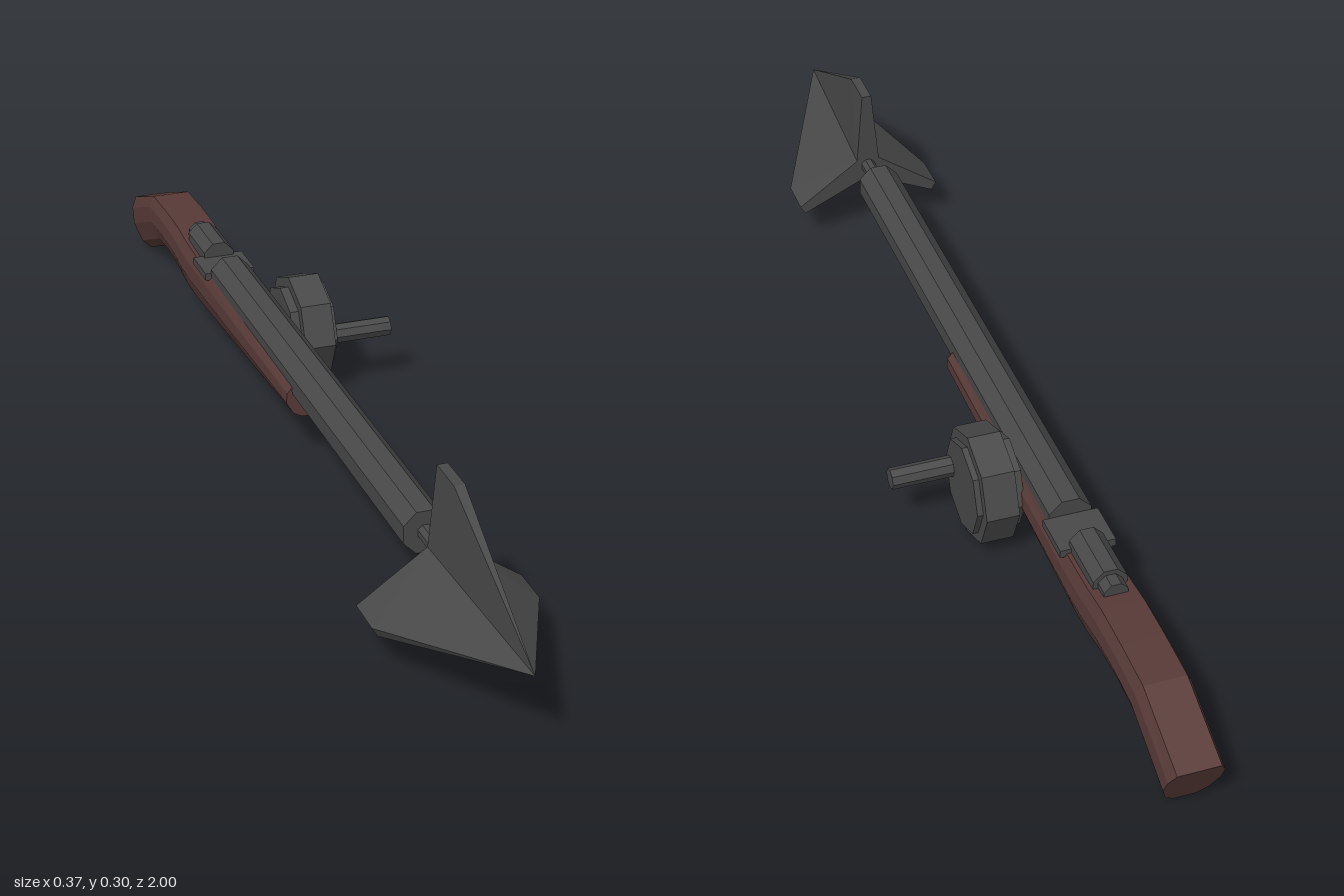
import * as THREE from 'three';

const CX = -0.047, CY = 0.15; // barrel axis

const mat = (name, color) => {
  const m = new THREE.MeshStandardMaterial({ color, flatShading: true });
  m.name = name;
  return m;
};

function part(group, name, geometry, material, x = 0, y = 0, z = 0) {
  const m = new THREE.Mesh(geometry, material);
  m.name = name;
  m.position.set(x, y, z);
  group.add(m);
  return m;
}

// Octagonal prism along z; flats face up unless a vertex-up turn is asked for
function prismZ(rBack, rFront, z0, z1, sides = 8) {
  const g = new THREE.CylinderGeometry(rFront, rBack, z1 - z0, sides);
  g.rotateY(Math.PI / sides);
  g.rotateX(Math.PI / 2);
  g.translate(0, 0, (z0 + z1) / 2);
  return g;
}

// Octagonal prism along x with a vertex at the top
function prismX(r, x0, x1) {
  const g = new THREE.CylinderGeometry(r, r, x1 - x0, 8);
  g.rotateZ(Math.PI / 2);
  g.translate((x0 + x1) / 2, 0, 0);
  return g;
}

function fromTriangles(points, tris) {
  const g = new THREE.BufferGeometry();
  g.setAttribute('position', new THREE.Float32BufferAttribute(points.flat(), 3));
  g.setIndex(tris);
  const flat = g.toNonIndexed();
  flat.computeVertexNormals();
  return flat;
}

// Loft of one faceted section through slanted stations
function stockGeometry() {
  const section = [ // x, share of height; counter-clockwise seen from the front
    [-0.018, 0], [0.018, 0], [0.035, 0.15], [0.047, 0.5], [0.046, 0.8], [0.036, 1],
    [-0.036, 1], [-0.046, 0.8], [-0.047, 0.5], [-0.035, 0.15],
  ];
  const stations = [ // zTop, yTop, zBottom, yBottom
    [0.02, 0.148, 0.02, 0.088],
    [-0.28, 0.148, -0.28, 0.068],
    [-0.57, 0.15, -0.58, 0.047],
    [-0.63, 0.153, -0.63, 0.049],
    [-0.69, 0.16, -0.70, 0.062],
    [-0.77, 0.16, -0.77, 0.066],
    [-0.86, 0.156, -0.83, 0.06],
    [-1.0, 0.1, -0.955, 0.003],
  ];
  const n = section.length, pts = [], tris = [];
  for (const [zt, yt, zb, yb] of stations)
    for (const [x, t] of section) pts.push([x, yb + (yt - yb) * t, zb + (zt - zb) * t]);
  for (let s = 0; s < stations.length - 1; s++)
    for (let i = 0; i < n; i++) {
      const a = s * n + i, b = s * n + (i + 1) % n;
      tris.push(a, a + n, b, b, a + n, b + n);
    }
  const last = (stations.length - 1) * n;
  for (let i = 1; i < n - 1; i++)
    tris.push(0, i, i + 1, last, last + i + 1, last + i);
  return fromTriangles(pts, tris);
}

// Three tapering blades meeting in valleys, drawn to one tip
function headGeometry() {
  const pts = [[0, 0, 1], [0, 0, 0.63]], tris = [];
  const R = 0.153, half = 0.009, front = 0.7, back = 0.63;
  for (let k = 0; k < 3; k++) {
    const a = Math.PI / 2 + k * Math.PI * 2 / 3, c = Math.cos(a), s = Math.sin(a);
    for (const [side, z] of [[1, front], [-1, front], [1, back], [-1, back]])
      pts.push([c * R - s * half * side, s * R + c * half * side, z]);
    const v = a + Math.PI / 3;
    pts.push([Math.cos(v) * 0.025, Math.sin(v) * 0.025, back]);
  }
  for (let k = 0; k < 3; k++) {
    const o = 2 + k * 5, [fl, fr, bl, br, vl] = [o, o + 1, o + 2, o + 3, o + 4];
    const vr = 2 + ((k + 2) % 3) * 5 + 4;
    tris.push(0, fr, fl);                      // front edge
    tris.push(fl, fr, br, fl, br, bl);         // outer edge
    tris.push(0, fl, vl, fl, bl, vl);          // left face
    tris.push(0, vr, fr, fr, vr, br);          // right face
    tris.push(1, vl, bl, 1, bl, br, 1, br, vr); // rear
  }
  return fromTriangles(pts, tris);
}

export function createModel() {
  const model = new THREE.Group();
  model.name = 'harpoonGun';
  const metal = mat('darkMetal', 0x484848);
  const wood = mat('darkWood', 0x573a37);

  // Wooden stock
  part(model, 'stock', stockGeometry(), wood, CX);

  // Barrel, harpoon shaft and head
  part(model, 'barrel', prismZ(0.0395, 0.0395, -0.46, 0.565), metal, CX, CY);
  part(model, 'harpoonShaft', prismZ(0.0135, 0.0135, 0.55, 0.66), metal, CX, CY);
  part(model, 'harpoonHead', headGeometry(), metal, CX, CY);

  // Receiver plate and bolt behind the barrel
  part(model, 'receiver', new THREE.BoxGeometry(0.095, 0.014, 0.08), metal, CX, 0.151, -0.5);
  part(model, 'bolt', prismZ(0.031, 0.031, -0.635, -0.53), metal, CX, 0.156);
  part(model, 'boltEnd', prismZ(0.022, 0.022, -0.66, -0.63), metal, CX, 0.156);

  // Line reel with hub and crank handle on the left side
  const reel = new THREE.Group();
  reel.name = 'reel';
  reel.position.set(0, 0.11, -0.285);
  part(reel, 'reelHub', prismX(0.081, -0.005, 0.078), metal);
  part(reel, 'reelDrum', prismX(0.1, 0.011, 0.068), metal);
  part(reel, 'crankHandle', prismX(0.0185, 0.07, 0.185), metal, 0, 0.001, 0.055);
  model.add(reel);

  return model;
}
